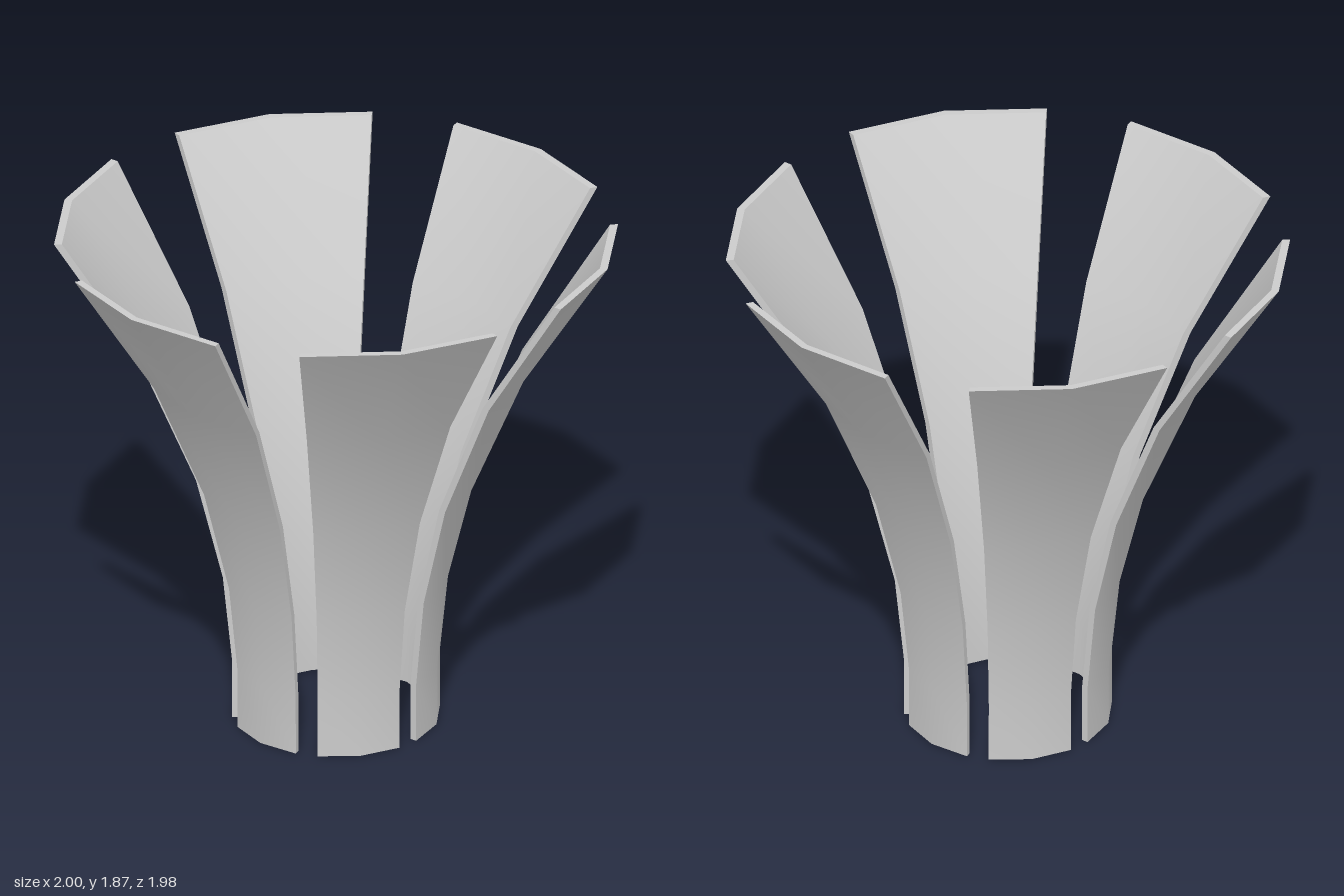
import * as THREE from 'three';
import { toCreasedNormals } from 'three/addons/utils/BufferGeometryUtils.js';

// Petal profile rows: [height, outer radius, half angle in degrees, thickness]
const ROWS = [
  [0, 0.37, 23.8, 0.025],
  [0.22, 0.37, 23.7, 0.025],
  [0.55, 0.403, 23.4, 0.025],
  [0.935, 0.498, 22.9, 0.027],
  [1.39, 0.69, 22.2, 0.028],
  [1.874, 1.0, 21.1, 0.028],
];

// Thin curved wall: a six-point cross-section (outer arc, then inner arc back) lofted upwards
function petalGeometry() {
  const positions = [];
  const index = [];
  const n = 6;
  for (const [y, radius, degrees, thickness] of ROWS) {
    const a = THREE.MathUtils.degToRad(degrees);
    const inner = radius - thickness;
    for (const [r, t] of [[radius, -a], [radius, 0], [radius, a], [inner, a], [inner, 0], [inner, -a]]) {
      positions.push(r * Math.cos(t), y, r * Math.sin(t));
    }
  }
  const quad = (a, b, c, d) => index.push(a, b, c, a, c, d);
  // Walls
  for (let j = 0; j < ROWS.length - 1; j++) {
    for (let k = 0; k < n; k++) {
      const k2 = (k + 1) % n;
      quad(j * n + k, (j + 1) * n + k, (j + 1) * n + k2, j * n + k2);
    }
  }
  // Bottom and top rims
  const t = (ROWS.length - 1) * n;
  quad(0, 1, 4, 5);
  quad(1, 2, 3, 4);
  quad(t + 5, t + 4, t + 1, t);
  quad(t + 4, t + 3, t + 2, t + 1);

  const geometry = new THREE.BufferGeometry();
  geometry.setAttribute('position', new THREE.Float32BufferAttribute(positions, 3));
  geometry.setIndex(index);
  return toCreasedNormals(geometry, THREE.MathUtils.degToRad(50));
}

export function createModel() {
  const model = new THREE.Group();
  model.name = 'petalRing';
  const material = new THREE.MeshStandardMaterial({ color: 0xcccccc });
  const geometry = petalGeometry();

  // Six petals evenly spaced around the axis
  for (let i = 0; i < 6; i++) {
    const petal = new THREE.Mesh(geometry, material);
    petal.name = `petal${i + 1}`;
    petal.rotation.y = (i * Math.PI) / 3;
    model.add(petal);
  }
  return model;
}
